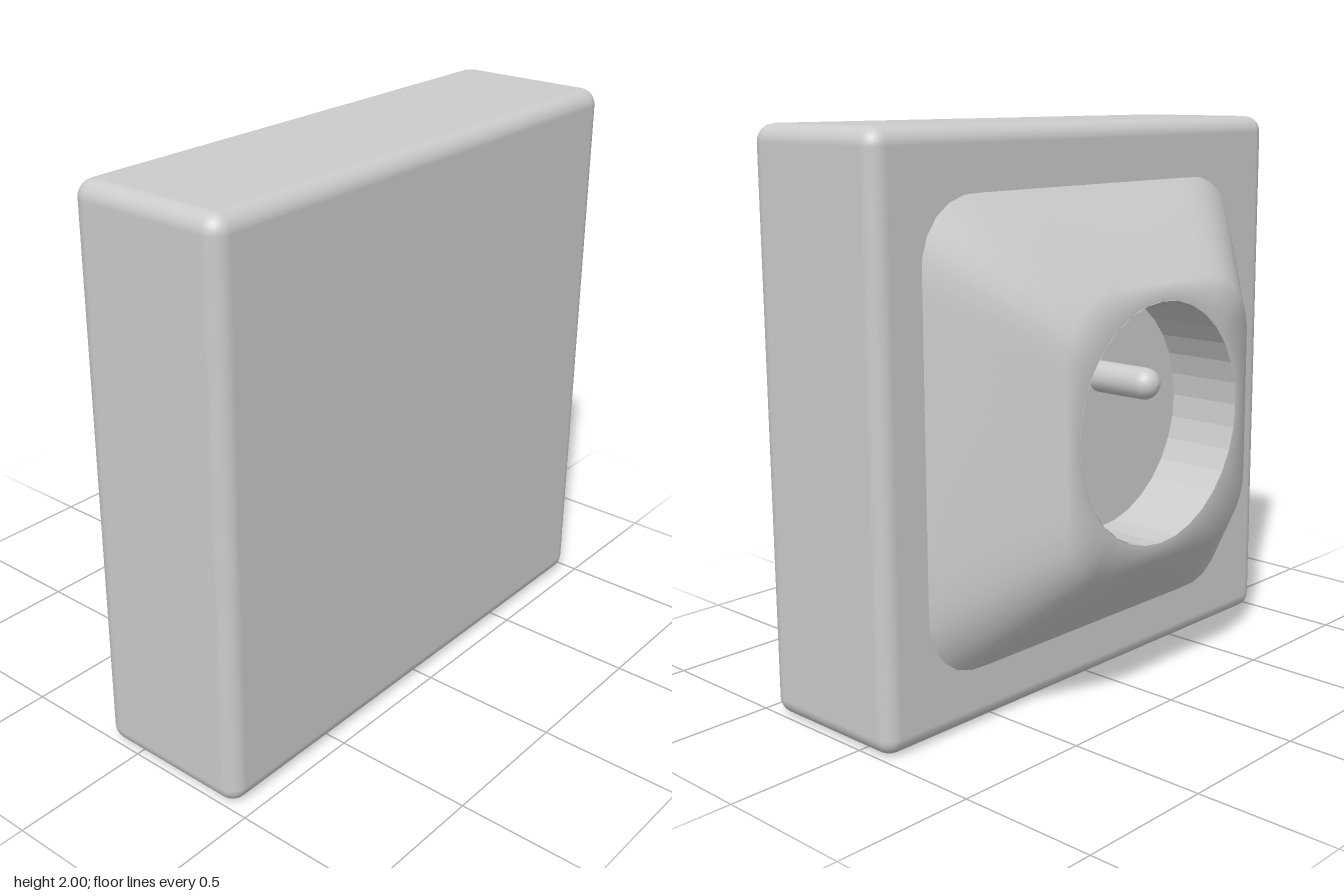
import * as THREE from 'three';
import { RoundedBoxGeometry } from 'three/addons/geometries/RoundedBoxGeometry.js';

const HEIGHT = 0.32, FLOOR = 0.04, HOLE = 0.42;

// distance from centre to a rounded square's edge along an angle
function squareRadius(half, corner, angle) {
  const u = Math.abs(Math.cos(angle)), v = Math.abs(Math.sin(angle));
  const c = half - corner, max = Math.max(u, v);
  if (half * Math.min(u, v) / max <= c) return half / max;
  const b = c * (u + v);
  return b + Math.sqrt(b * b - 2 * c * c + corner * corner);
}

// surface through closed rings, each given as { y, radius(angle) }
function ringSurface(rings, sides) {
  const positions = [], indices = [];
  rings.forEach(({ y, radius }, row) => {
    for (let i = 0; i < sides; i++) {
      const a = (i / sides) * Math.PI * 2, r = radius(a);
      positions.push(r * Math.cos(a), y, r * Math.sin(a));
      if (row === 0) continue;
      const next = (i + 1) % sides, lo = (row - 1) * sides, hi = row * sides;
      indices.push(lo + i, hi + i, lo + next, lo + next, hi + i, hi + next);
    }
  });
  const geometry = new THREE.BufferGeometry();
  geometry.setAttribute('position', new THREE.Float32BufferAttribute(positions, 3));
  geometry.setIndex(indices);
  geometry.computeVertexNormals();
  return geometry;
}

export function createModel() {
  const model = new THREE.Group();
  const smooth = new THREE.MeshStandardMaterial({ color: 0xcccccc });
  const faceted = new THREE.MeshStandardMaterial({ color: 0xcccccc, flatShading: true, side: THREE.DoubleSide });
  const add = (parent, name, geometry, material) => {
    const mesh = new THREE.Mesh(geometry, material);
    mesh.name = name;
    parent.add(mesh);
    return mesh;
  };

  // wall box with softened edges
  add(model, 'wallBox', new RoundedBoxGeometry(0.595, 2, 2, 3, 0.06), smooth).position.set(0.155, 1, 0);

  // socket, built upright and turned to face -x
  const socket = new THREE.Group();
  socket.name = 'socket';
  socket.position.set(-0.14, 0.993, -0.02);
  socket.rotation.z = Math.PI / 2;
  model.add(socket);

  // tapered cover: base, front rim, hole edge
  add(socket, 'cover', ringSurface([
    { y: 0, radius: a => squareRadius(0.795, 0.22, a) },
    { y: HEIGHT, radius: a => squareRadius(0.48, 0.22, a) },
    { y: HEIGHT, radius: () => HOLE },
  ], 96), smooth);

  // round recess
  const wall = new THREE.CylinderGeometry(HOLE, HOLE, HEIGHT - FLOOR, 32, 1, true);
  wall.translate(0, (HEIGHT + FLOOR) / 2, 0);
  add(socket, 'recessWall', wall, faceted);
  const floor = new THREE.CircleGeometry(HOLE, 32);
  floor.rotateX(-Math.PI / 2).translate(0, FLOOR, 0);
  add(socket, 'recessFloor', floor, smooth);

  // earth pin with a domed tip
  const pinRadius = 0.055, shoulder = 0.24;
  const profile = [new THREE.Vector2(pinRadius, FLOOR)];
  for (let i = 0; i <= 6; i++) {
    const a = (i / 6) * Math.PI / 2;
    profile.push(new THREE.Vector2(pinRadius * Math.cos(a), shoulder + pinRadius * Math.sin(a)));
  }
  add(socket, 'earthPin', new THREE.LatheGeometry(profile, 24), smooth).position.x = 0.13;

  return model;
}
